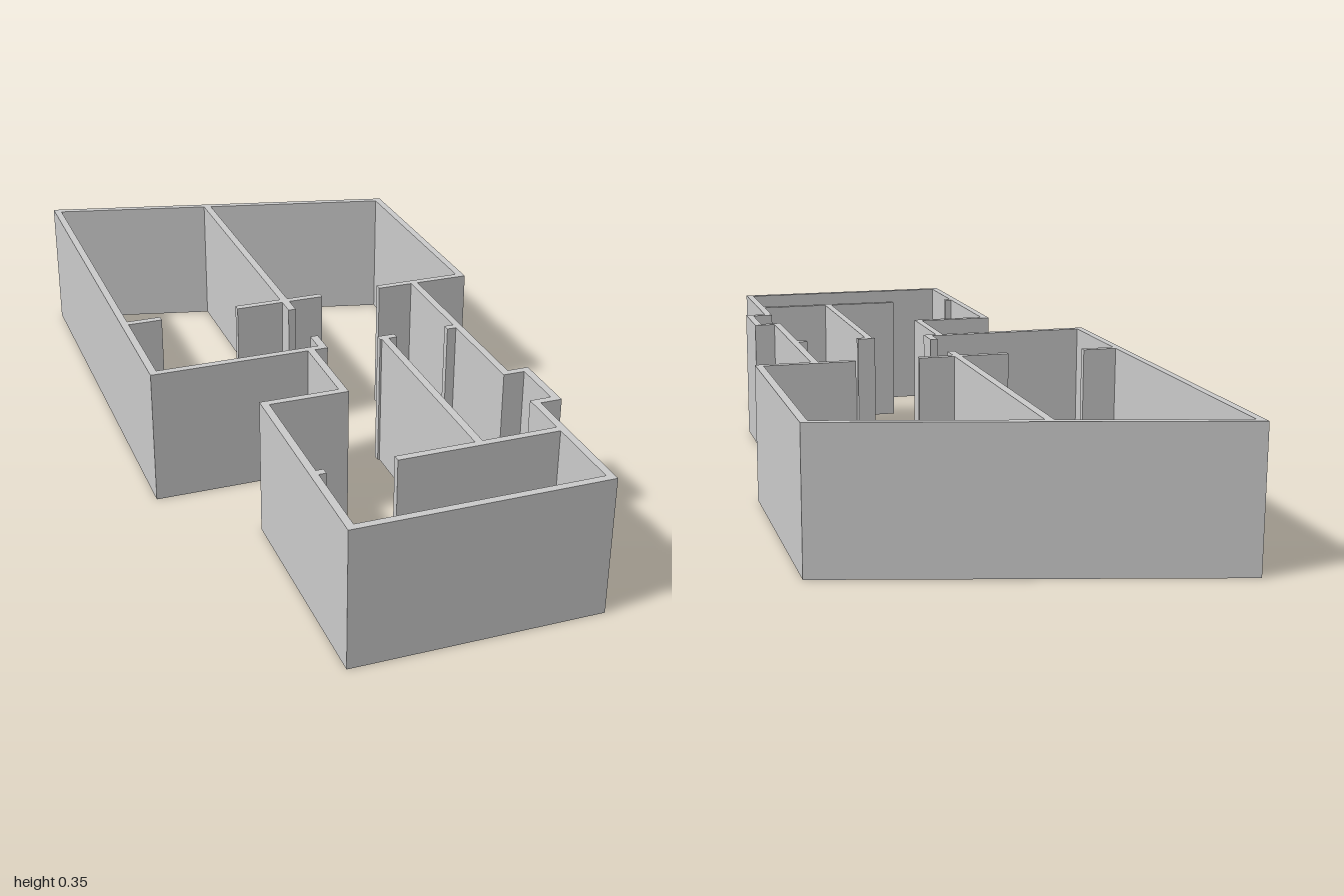
import * as THREE from 'three';

const H = 0.353; // wall height
const T = 0.019; // wall thickness

// Plan corners [x, z], going round with the rooms on the same side
const outline = [
  [-0.487, -1], [0.487, -0.758], [0.487, -0.118], [0.345, -0.118],
  [0.345, 0.45], [0.4, 0.45], [0.4, 0.63], [0.345, 0.63],
  [0.345, 1], [-0.28, 1], [-0.28, 0.405], [-0.08, 0.405],
  [-0.08, 0.183], [-0.487, 0.183],
].map(([x, z]) => new THREE.Vector2(x, z));

// Moves every edge of the plan inward by t and mitres the corners
function inset(points, t) {
  const n = points.length;
  return points.map((p, i) => {
    const a = p.clone().sub(points[(i + n - 1) % n]).normalize();
    const b = points[(i + 1) % n].clone().sub(p).normalize();
    const na = new THREE.Vector2(-a.y, a.x);
    const nb = new THREE.Vector2(-b.y, b.x);
    const k = t / (1 + na.dot(nb));
    return p.clone().addScaledVector(na.add(nb), k);
  });
}

// Inner walls and stubs beside the doorways: name, x0, x1, z0, z1
const innerWalls = [
  ['bedroomDivider', -0.047, -0.027, -0.876, -0.065],
  ['bedroomDoorStubLeftEnd', -0.48, -0.379, -0.137, -0.118],
  ['bedroomDoorMiddleWall', -0.172, 0.066, -0.137, -0.118],
  ['bedroomDoorStubRightEnd', 0.232, 0.34, -0.137, -0.118],
  ['hallCornerWall', -0.07, -0.027, 0.164, 0.183],
  ['hallDoorStub', -0.047, -0.027, 0.107, 0.183],
  ['corridorDivider', 0.12, 0.139, 0.164, 0.76],
  ['corridorDoorStub', 0.115, 0.162, 0.164, 0.183],
  ['sideDoorStub', 0.302, 0.335, 0.164, 0.183],
  ['frontRoomWall', -0.075, 0.335, 0.749, 0.768],
  ['frontRoomDoorStub', -0.27, -0.243, 0.749, 0.768],
];

export function createModel() {
  const model = new THREE.Group();
  model.name = 'floorPlan';
  const material = new THREE.MeshStandardMaterial({ color: 0xcccccc });

  // Closed outer wall: plan outline with its inset cut out
  const shape = new THREE.Shape(outline);
  shape.holes.push(new THREE.Path(inset(outline, T)));
  const outerGeometry = new THREE.ExtrudeGeometry(shape, { depth: H, bevelEnabled: false });
  outerGeometry.rotateX(Math.PI / 2).translate(0, H, 0);
  const outerWall = new THREE.Mesh(outerGeometry, material);
  outerWall.name = 'outerWall';
  model.add(outerWall);

  // Straight inner walls
  for (const [name, x0, x1, z0, z1] of innerWalls) {
    const wall = new THREE.Mesh(new THREE.BoxGeometry(x1 - x0, H, z1 - z0), material);
    wall.position.set((x0 + x1) / 2, H / 2, (z0 + z1) / 2);
    wall.name = name;
    model.add(wall);
  }
  return model;
}
